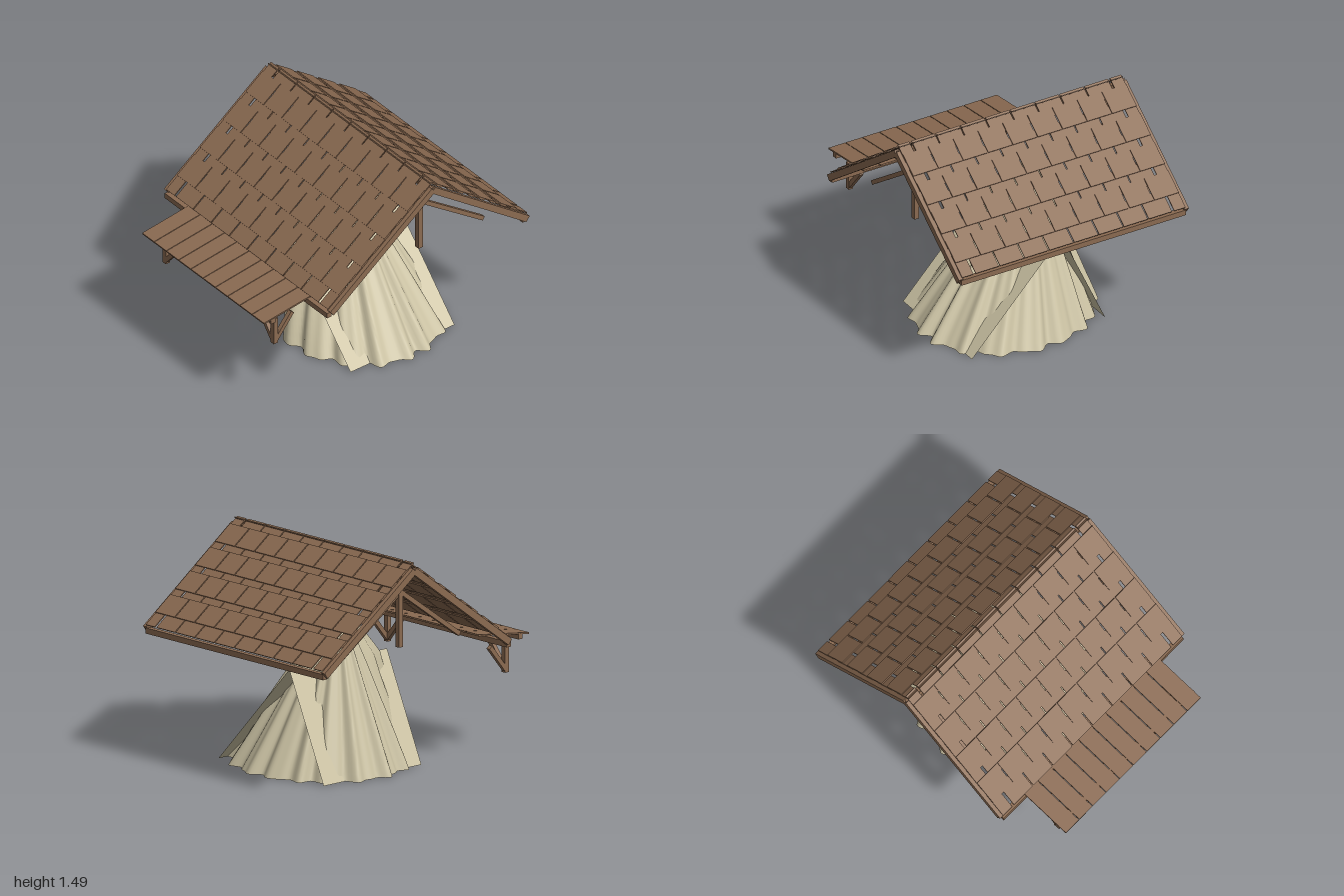
import * as THREE from 'three';
import { mergeGeometries } from 'three/addons/utils/BufferGeometryUtils.js';

const wood = new THREE.MeshStandardMaterial({ name: 'brown wood', color: 0x8a6a51 });
const cloth = new THREE.MeshStandardMaterial({ name: 'cream cloth', color: 0xcdc4a5, side: THREE.DoubleSide });

const RIDGE_Z = -0.21;
const PITCH = Math.atan(0.735);

// Square timber running from a to b
function beam(name, a, b, w = 0.035, h = w) {
  const p = new THREE.Vector3(...a), q = new THREE.Vector3(...b);
  const mesh = new THREE.Mesh(new THREE.BoxGeometry(w, h, p.distanceTo(q)), wood);
  mesh.name = name;
  mesh.position.copy(p).add(q).multiplyScalar(0.5);
  mesh.lookAt(q);
  return mesh;
}

// One roof slope of staggered shingles, every second row lying on its neighbours
function roofSlope(name, length, turn) {
  const rows = 9, step = length / rows, half = 0.094, parts = [];
  for (let i = 0; i < rows; i++) {
    const odd = i % 2 === 1;
    const edges = odd ? [] : [-9];
    for (let k = odd ? -9 : -8; k <= 9; k += 2) edges.push(k);
    if (!odd) edges.push(9);
    const start = Math.max(-0.02, (i - 0.5) * step), end = (i + 1) * step;
    const gap = (k) => (Math.abs(k) === 9 ? 0 : Math.abs(k) === 8 ? 0.009 : 0.004);
    for (let j = 0; j + 1 < edges.length; j++) {
      const x0 = edges[j] * half + gap(edges[j]);
      const x1 = edges[j + 1] * half - gap(edges[j + 1]);
      const g = new THREE.BoxGeometry(x1 - x0, 0.007, end - start);
      g.translate((x0 + x1) / 2, odd ? 0.011 : 0.004, (start + end) / 2);
      parts.push(g);
    }
  }
  const mesh = new THREE.Mesh(mergeGeometries(parts), wood);
  mesh.name = name;
  mesh.position.set(0, 1.47, RIDGE_Z);
  mesh.rotation.order = 'YXZ';
  mesh.rotation.set(PITCH, turn, 0);
  return mesh;
}

function roof() {
  const g = new THREE.Group();
  g.name = 'roof';
  g.add(roofSlope('frontShingles', 1.05, 0), roofSlope('backShingles', 0.975, Math.PI));
  g.add(beam('ridgeBeam', [-0.86, 1.43, RIDGE_Z], [0.86, 1.43, RIDGE_Z], 0.035));
  g.add(beam('frontEaveBeam', [-0.85, 0.806, 0.63], [0.85, 0.806, 0.63], 0.038));
  g.add(beam('backEaveBeam', [-0.85, 0.856, -0.978], [0.85, 0.856, -0.978], 0.038));
  for (const s of [-1, 1]) {
    // Rafters along each gable edge
    const x = s * 0.855, top = [x, 1.437, RIDGE_Z];
    g.add(beam('frontRafter', top, [x, 0.824, 0.625], 0.033, 0.046));
    g.add(beam('backRafter', top, [x, 0.866, -0.987], 0.033, 0.046));
    // Hanging post with two sloping braces
    const px = s * 0.72;
    g.add(beam('gablePost', [px, 0.905, RIDGE_Z], [px, 1.35, RIDGE_Z], 0.036));
    g.add(beam('frontGableBrace', [px, 1.275, RIDGE_Z], [px, 0.907, 0.31], 0.03));
    g.add(beam('backGableBrace', [px, 1.275, RIDGE_Z], [px, 0.907, -0.73], 0.03));
  }
  return g;
}

function awning() {
  const g = new THREE.Group();
  g.name = 'awning';
  const n = 10, w = 1.28 / n;
  for (let i = 0; i < n; i++) {
    const x = -0.64 + (i + 0.5) * w;
    g.add(beam('awningPlank', [x, 0.836, 0.56], [x, 0.779, 1], w - 0.005, 0.011));
  }
  g.add(beam('awningBeam', [-0.64, 0.771, 0.925], [0.64, 0.771, 0.925], 0.038));
  // Corner brackets with inward and backward struts
  for (const s of [-1, 1]) {
    const x = s * 0.565, z = 0.86;
    g.add(beam('bracketPost', [x, 0.53, z], [x, 0.727, z], 0.033));
    g.add(beam('bracketSideStrut', [x, 0.545, z], [s * 0.42, 0.718, z], 0.03));
    g.add(beam('bracketBackStrut', [x, 0.545, z], [x, 0.718, 0.72], 0.03));
  }
  return g;
}

// Pleated cone of cloth, split at the front below mid height
function tentCone() {
  const cols = 200, rows = 24, front = Math.PI / 2 + 0.246;
  const apex = new THREE.Vector3(-0.15, 1.14, -0.23);
  const geo = new THREE.PlaneGeometry(1, 1, cols, rows);
  const pos = geo.attributes.position;
  for (let i = 0; i < pos.count; i++) {
    const u = pos.getX(i) + 0.5, t = 0.5 - pos.getY(i);
    const gap = 0.15 * Math.max(0, (t - 0.5) / 0.5);
    const a = front + gap + u * (Math.PI * 2 - 2 * gap);
    const pleat = 1 + 0.04 * Math.sin(a * 17 + Math.sin(a * 3)) + 0.02 * Math.sin(a * 29 + 1);
    const foot = new THREE.Vector3(0.055 + 0.605 * pleat * Math.cos(a), 0, -0.21 + 0.545 * pleat * Math.sin(a));
    const p = apex.clone().lerp(foot, t);
    // Entrance fold pushed forward
    const d = Math.min(u, 1 - u) * Math.PI * 2;
    p.z += 0.17 * Math.exp(-((d / 0.5) ** 2)) * (t < 0.37 ? t / 0.37 : (1 - t) / 0.63);
    pos.setXYZ(i, p.x, p.y, p.z);
  }
  geo.computeVertexNormals();
  const mesh = new THREE.Mesh(geo, cloth);
  mesh.name = 'tentCone';
  return mesh;
}

// Flat sheet leaning from the low ridge down to the ground at footX
function tentSheet(name, footX) {
  const geo = new THREE.PlaneGeometry(1, 1);
  const pos = geo.attributes.position;
  const flip = footX > 0 ? -1 : 1;
  for (let i = 0; i < pos.count; i++) {
    const v = pos.getY(i) + 0.5;
    pos.setXYZ(i, THREE.MathUtils.lerp(footX, -0.13, v), 0.715 * v, -0.207 + 0.855 * flip * pos.getX(i));
  }
  geo.computeVertexNormals();
  const mesh = new THREE.Mesh(geo, cloth);
  mesh.name = name;
  return mesh;
}

export function createModel() {
  const model = new THREE.Group();
  model.name = 'shelterWithTent';
  const tent = new THREE.Group();
  tent.name = 'tent';
  tent.add(tentCone(), tentSheet('rightTentSheet', -0.46), tentSheet('leftTentSheet', 0.55));
  model.add(roof(), awning(), tent);
  return model;
}
